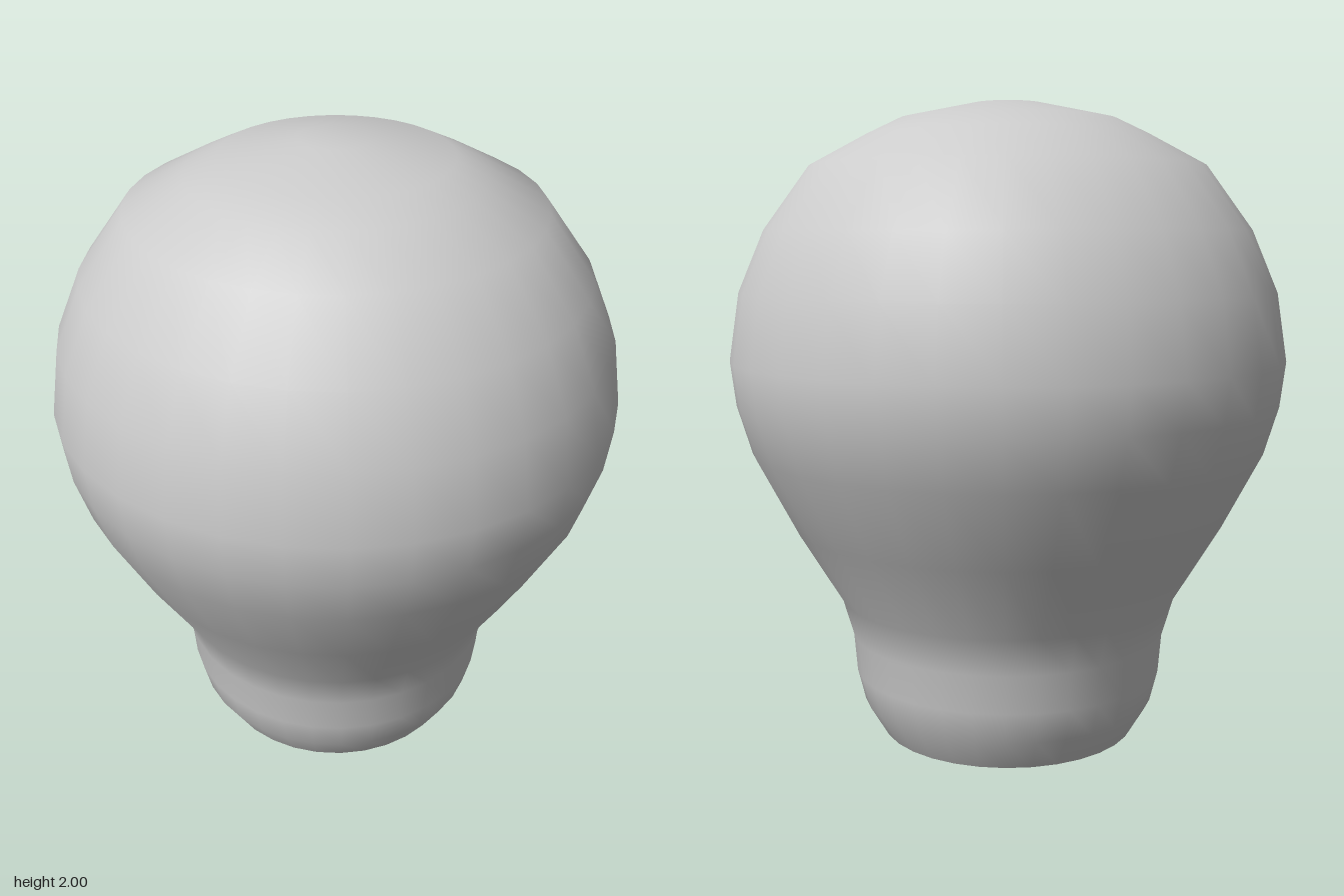
import * as THREE from 'three';

const SEGMENTS = 32;

// Half profile of the bulb, from the base rim up to the crown: [radius, height]
const PROFILE = [
  [0.41, 0], [0.47, 0.1], [0.495, 0.2], [0.505, 0.32], [0.54, 0.44],
  [0.685, 0.68], [0.81, 0.92], [0.855, 1.07], [0.872, 1.21], [0.84, 1.42],
  [0.76, 1.61], [0.618, 1.806], [0.44, 1.903], [0.343, 1.95], [0.11, 2], [0, 2],
];

export function createModel() {
  const group = new THREE.Group();
  const material = new THREE.MeshStandardMaterial({ color: 0xcccccc });

  // Rounded glass body with its narrow neck
  const points = PROFILE.map(([r, y]) => new THREE.Vector2(r, y));
  const bulb = new THREE.Mesh(new THREE.LatheGeometry(points, SEGMENTS), material);
  bulb.name = 'bulb';
  group.add(bulb);

  // Flat underside; its corners are turned to meet the rim
  const disc = new THREE.CircleGeometry(PROFILE[0][0], SEGMENTS);
  disc.rotateX(Math.PI / 2);
  const base = new THREE.Mesh(disc, material);
  base.name = 'base';
  group.add(base);

  return group;
}
